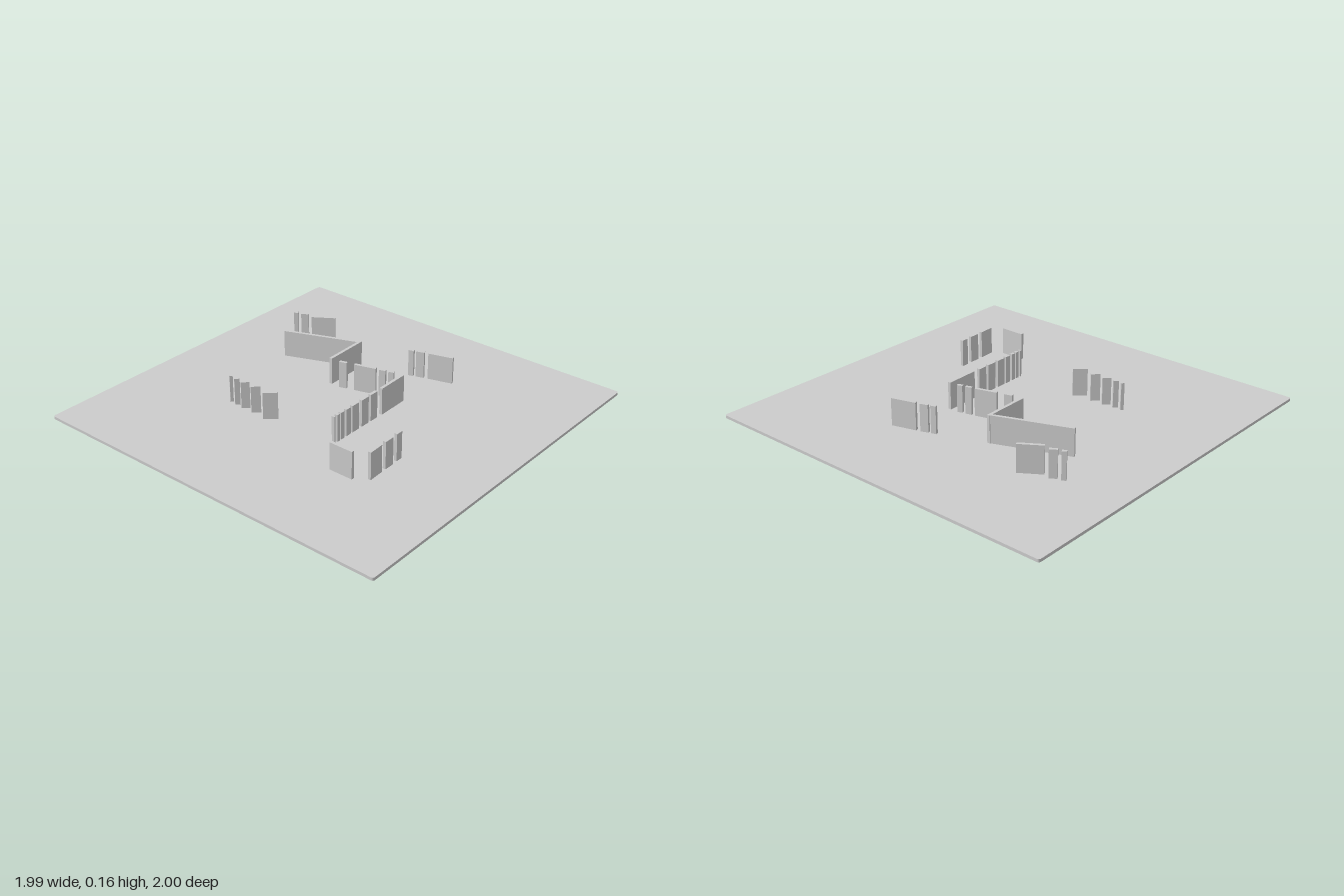
import * as THREE from 'three';

const material = new THREE.MeshStandardMaterial({ color: 0xcccccc });
const BASE_TOP = 0.015, WALL_TOP = 0.16, THICKNESS = 0.016;

// Each run of upright slabs: [x1, z1, x2, z2] along the centre line
const slabRuns = {
  backWall: [[0.215, -0.565, 0.365, -0.18], [0.128, -0.174, 0.375, -0.179]],
  middleSlabs: [
    [0.134, -0.12, 0.146, -0.08], [0.158, -0.042, 0.192, 0.07],
    [0.195, 0.088, 0.205, 0.121], [0.208, 0.137, 0.217, 0.164],
  ],
  frontRow: [
    [0.045, 0.216, 0.225, 0.212],
    ...[[-0.038, 0.012], [-0.107, -0.055], [-0.177, -0.128], [-0.223, -0.19],
      [-0.261, -0.237], [-0.289, -0.27], [-0.311, -0.302]].map(([a, b]) => [a, 0.213, b, 0.213]),
  ],
  frontCorner: [
    [-0.487, 0.348, -0.487, 0.478], [-0.445, 0.539, -0.36, 0.535],
    [-0.331, 0.534, -0.275, 0.534], [-0.245, 0.531, -0.207, 0.531],
  ],
  leftSlabs: [
    [0.461, 0.072, 0.469, 0.099], [0.474, 0.111, 0.487, 0.152], [0.494, 0.173, 0.531, 0.3],
  ],
  backLeftSlabs: [
    [0.415, -0.677, 0.427, -0.657], [0.427, -0.636, 0.449, -0.602], [0.434, -0.567, 0.504, -0.46],
  ],
  rightSlabs: [
    [-0.331, -0.428, -0.322, -0.439], [-0.338, -0.401, -0.318, -0.383],
    [-0.343, -0.352, -0.312, -0.321], [-0.344, -0.284, -0.31, -0.25], [-0.352, -0.198, -0.302, -0.143],
  ],
};

function slab([x1, z1, x2, z2]) {
  const length = Math.hypot(x2 - x1, z2 - z1);
  // Slabs sink slightly into the base
  const bottom = BASE_TOP - 0.005;
  const mesh = new THREE.Mesh(
    new THREE.BoxGeometry(length, WALL_TOP - bottom, THICKNESS), material);
  mesh.position.set((x1 + x2) / 2, (WALL_TOP + bottom) / 2, (z1 + z2) / 2);
  mesh.rotation.y = -Math.atan2(z2 - z1, x2 - x1);
  mesh.name = 'slab';
  return mesh;
}

// Thin plate with slightly rounded corners
function basePlate() {
  const w = 0.994, d = 1, r = 0.012;
  const shape = new THREE.Shape();
  [[w - r, d - r, 0], [r - w, d - r, 1], [r - w, r - d, 2], [w - r, r - d, 3]].forEach(([x, y, q]) =>
    shape.absarc(x, y, r, q * Math.PI / 2, (q + 1) * Math.PI / 2, false));
  const geometry = new THREE.ExtrudeGeometry(shape, { depth: BASE_TOP, bevelEnabled: false, curveSegments: 4 });
  geometry.rotateX(-Math.PI / 2);
  const mesh = new THREE.Mesh(geometry, material);
  mesh.name = 'basePlate';
  return mesh;
}

export function createModel() {
  const model = new THREE.Group();
  model.name = 'slabsOnPlate';
  model.add(basePlate());
  for (const [name, slabs] of Object.entries(slabRuns)) {
    const run = new THREE.Group();
    run.name = name;
    slabs.forEach(s => run.add(slab(s)));
    model.add(run);
  }
  return model;
}
